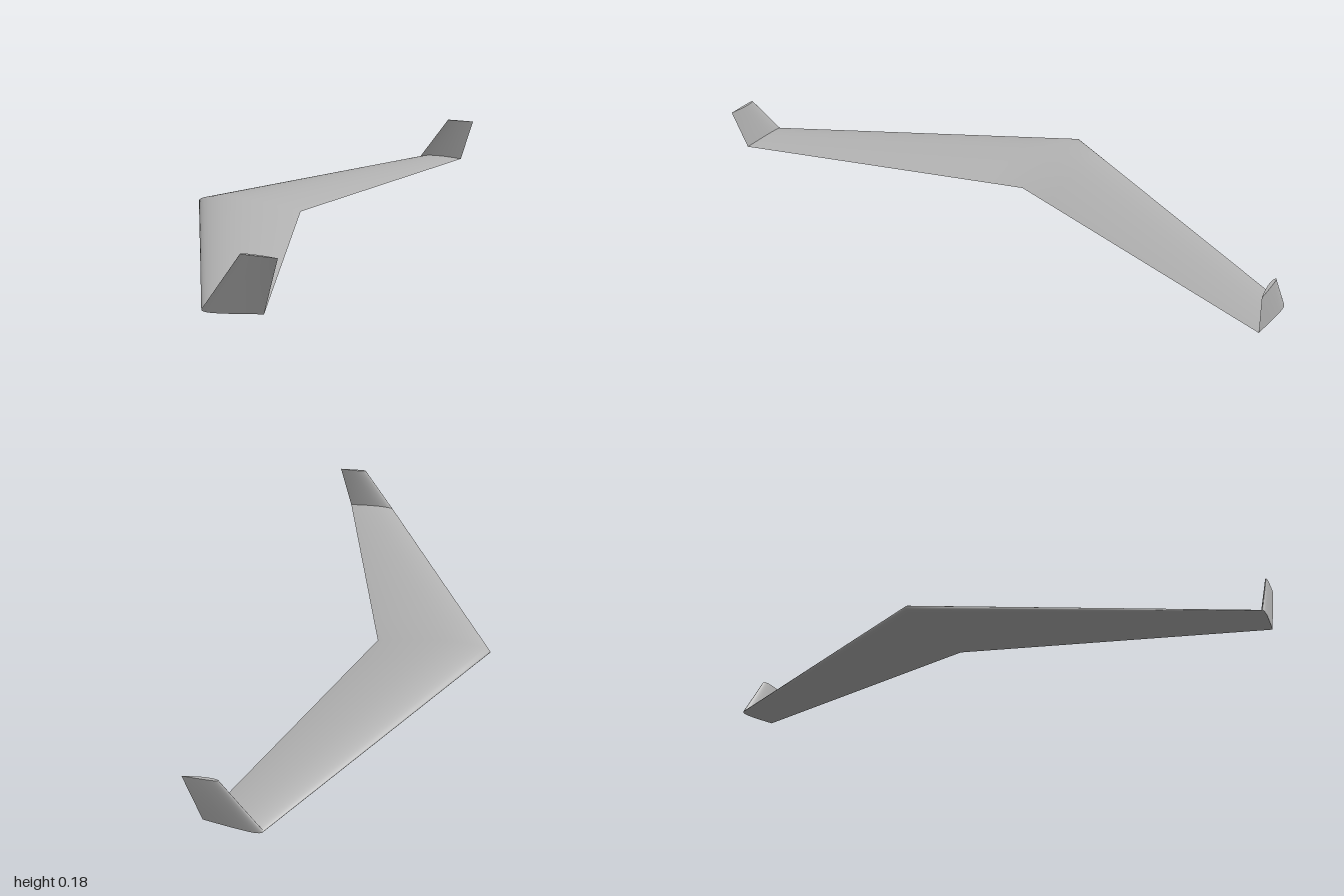
import * as THREE from 'three';

const N = 20; // points along each side of the airfoil

// Cambered airfoil, trailing edge -> top -> nose -> underside -> trailing edge.
// Returns [along chord, above chord] pairs for a chord of 1.
function airfoil() {
  const m = 0.02, p = 0.4, t = 0.1;
  const side = (s) => Array.from({ length: N + 1 }, (_, i) => {
    const c = (1 + Math.cos((i / N) * Math.PI)) / 2;
    const half = 5 * t * (0.2969 * Math.sqrt(c) - 0.126 * c - 0.3516 * c ** 2 + 0.2843 * c ** 3 - 0.1036 * c ** 4);
    const camber = c < p ? (m / p ** 2) * (2 * p * c - c * c) : (m / (1 - p) ** 2) * (1 - 2 * p + 2 * p * c - c * c);
    return [c, camber + s * half];
  });
  return [...side(1), ...side(-1).reverse().slice(1)];
}
const FOIL = airfoil();

// Places the airfoil: nose position, chord, rise of the trailing edge and
// the direction (up, sideways) in which thickness is measured.
const section = ({ x, y, z, chord, rise, up, out }) => FOIL.map(([c, h]) => {
  const k = h * chord + c * rise;
  return new THREE.Vector3(x + c * chord, y + k * up, z + k * out);
});

// Straight rows between two sections
const between = (a, b, steps) => Array.from({ length: steps + 1 }, (_, j) =>
  a.map((v, i) => v.clone().lerp(b[i], j / steps)));

// Smooth surface through rows of points
function skin(rows, material, name) {
  const n = rows[0].length, index = [];
  for (let j = 0; j < rows.length - 1; j++) {
    for (let i = 0; i < n - 1; i++) {
      const a = j * n + i, b = a + n;
      index.push(a, a + 1, b, a + 1, b + 1, b);
    }
  }
  const geometry = new THREE.BufferGeometry().setFromPoints(rows.flat());
  geometry.setIndex(index);
  geometry.computeVertexNormals();
  const mesh = new THREE.Mesh(geometry, material);
  mesh.name = name;
  return mesh;
}

export function createModel() {
  const group = new THREE.Group();
  group.name = 'flyingWing';
  const grey = new THREE.MeshStandardMaterial({ color: 0xb4b4b4 });
  grey.name = 'light grey';

  // Root, mitred wing tips and winglet tops (s is the side along z)
  const root = section({ x: -0.37, y: 0.0135, z: 0, chord: 0.39, rise: 0, up: 1, out: 0 });
  const tip = (s) => section({ x: 0.149, y: 0.013, z: s * 0.9955, chord: 0.175, rise: 0.008, up: 1, out: -s });
  const top = (s) => section({ x: 0.263, y: 0.178, z: s * 0.9965, chord: 0.104, rise: 0, up: 0, out: -s });

  // Swept main wing
  group.add(skin([...between(tip(-1), root, 8), ...between(root, tip(1), 8).slice(1)], grey, 'mainWing'));

  // Winglets with flat end caps
  for (const s of [1, -1]) {
    const label = s > 0 ? 'front' : 'back';
    const rows = between(tip(s), top(s), 4);
    if (s < 0) rows.reverse();
    group.add(skin(rows, grey, label + 'Winglet'));

    const end = top(s);
    const halves = [end.slice(0, N + 1), end.slice(N).reverse()];
    if (s < 0) halves.reverse();
    group.add(skin(halves, grey, label + 'WingletCap'));
  }
  return group;
}
